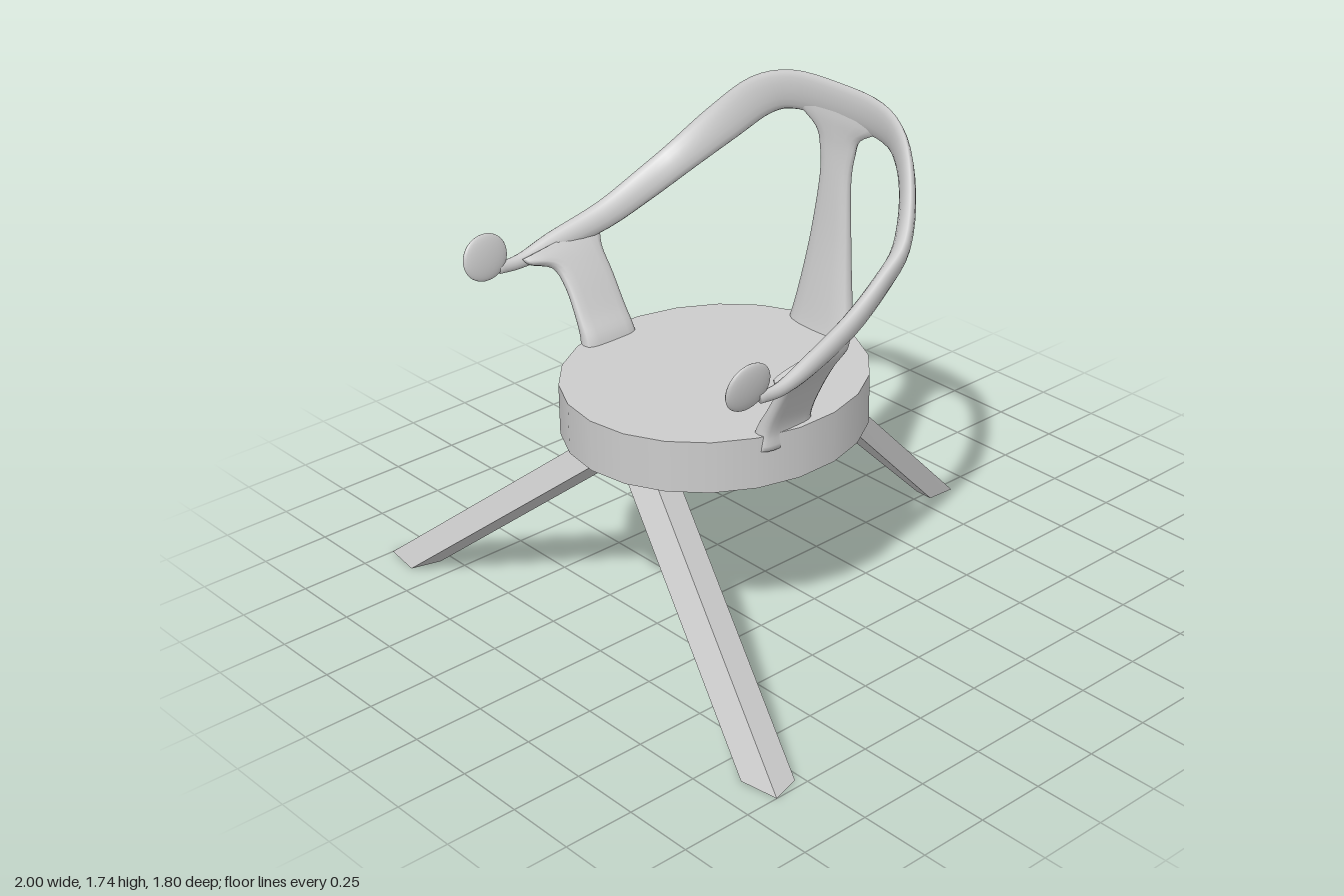
import * as THREE from 'three';

const material = new THREE.MeshStandardMaterial({ color: 0xcccccc, side: THREE.DoubleSide });

// Smooth loft. Each section: [x, y, z,  ux, uy, uz (half-axis),  half thickness]
function loft(sections, steps, power = 1, sides = 16) {
  const V = (f) => new THREE.CatmullRomCurve3(sections.map(f), false, 'catmullrom', 0.5);
  const centre = V((s) => new THREE.Vector3(s[0], s[1], s[2]));
  const axis = V((s) => new THREE.Vector3(s[3], s[4], s[5]));
  const thick = V((s) => new THREE.Vector3(s[6], 0, 0));
  const pos = [], index = [];
  const bend = (k) => Math.sign(k) * Math.abs(k) ** power;
  for (let i = 0; i <= steps; i++) {
    const t = i / steps, c = centre.getPoint(t), u = axis.getPoint(t);
    const v = centre.getTangent(t).cross(u).setLength(thick.getPoint(t).x);
    for (let j = 0; j < sides; j++) {
      const a = (j / sides) * Math.PI * 2;
      const p = c.clone().addScaledVector(u, bend(Math.cos(a))).addScaledVector(v, bend(Math.sin(a)));
      pos.push(p.x, p.y, p.z);
      if (i < steps) {
        const k = i * sides, n = (j + 1) % sides;
        index.push(k + j, k + n, k + sides + j, k + n, k + sides + n, k + sides + j);
      }
    }
  }
  // end caps
  const last = steps * sides;
  for (let j = 1; j < sides - 1; j++) index.push(0, j + 1, j, last, last + j, last + j + 1);
  const geo = new THREE.BufferGeometry();
  geo.setAttribute('position', new THREE.Float32BufferAttribute(pos, 3));
  geo.setIndex(index);
  geo.computeVertexNormals();
  return geo;
}

const mirror = (s) => [-s[0], s[1], s[2], -s[3], s[4], s[5], s[6]];

// Slanted four-sided leg; corners are [x, z] in order back-inner, back-outer, front-inner, front-outer
function legGeometry(foot, top, topY, side = 1) {
  const geo = new THREE.BoxGeometry(1, 1, 1), p = geo.attributes.position;
  for (let i = 0; i < p.count; i++) {
    const outer = p.getX(i) * side > 0 ? 1 : 0, front = p.getZ(i) > 0 ? 2 : 0, up = p.getY(i) > 0;
    const [x, z] = (up ? top : foot)[outer + front];
    p.setXYZ(i, x * side, up ? topY : 0, z);
  }
  geo.computeVertexNormals();
  return geo;
}

export function createModel() {
  const model = new THREE.Group();
  const add = (name, geo) => {
    const mesh = new THREE.Mesh(geo, material);
    mesh.name = name;
    model.add(mesh);
    return mesh;
  };

  // Thick, slightly oval seat
  const seat = new THREE.CylinderGeometry(0.492, 0.492, 0.18, 22);
  seat.scale(1, 1, 1.088);
  seat.translate(0, 0.78, 0.225);
  add('seat', seat);

  // Continuous back and arm rail
  const half = [
    [0.2, 1.66, -0.325, 0.01, 0.07, 0.008, 0.021],
    [0.33, 1.615, -0.288, 0.033, 0.06, 0.02, 0.023],
    [0.44, 1.505, -0.212, 0.04, 0.05, 0.03, 0.026],
    [0.53, 1.385, -0.095, 0.035, 0.045, 0.02, 0.029],
    [0.566, 1.31, 0.03, 0.025, 0.05, 0.01, 0.029],
    [0.597, 1.23, 0.2, 0.018, 0.045, 0.01, 0.03],
    [0.628, 1.175, 0.4, 0.012, 0.037, 0.006, 0.028],
    [0.64, 1.145, 0.53, 0.004, 0.025, 0, 0.02],
    [0.641, 1.145, 0.62, 0.002, 0.02, 0.006, 0.014],
  ];
  const rail = [...half.map(mirror).reverse(), [0, 1.665, -0.335, 0, 0.075, 0.008, 0.022], ...half];
  add('backAndArmRail', loft(rail, 72));

  // Central back splat, flaring into the seat and the rail
  add('backSplat', loft([
    [0, 0.78, -0.245, 0.17, 0, 0, 0.055],
    [0, 0.87, -0.265, 0.145, 0, 0, 0.046],
    [0, 1.02, -0.285, 0.115, 0, 0, 0.038],
    [0, 1.2, -0.305, 0.088, 0, 0, 0.03],
    [0, 1.4, -0.322, 0.068, 0, 0, 0.024],
    [0, 1.5, -0.33, 0.08, 0, 0, 0.021],
    [0, 1.56, -0.332, 0.105, 0, 0, 0.02],
    [0, 1.61, -0.333, 0.19, 0, 0, 0.019],
    [0, 1.65, -0.333, 0.22, 0, 0, 0.014],
  ], 32, 0.8));

  // Arm supports, broad from front to back, leaning outward
  const support = [
    [0.43, 0.82, 0.325, 0, 0, 0.115, 0.04],
    [0.437, 0.88, 0.325, 0, 0, 0.105, 0.034],
    [0.47, 0.95, 0.325, 0, 0, 0.1, 0.024],
    [0.525, 1.05, 0.325, 0, 0, 0.098, 0.022],
    [0.572, 1.12, 0.335, 0, -0.004, 0.105, 0.024],
    [0.6, 1.155, 0.365, 0, -0.015, 0.15, 0.024],
    [0.617, 1.185, 0.375, 0, -0.025, 0.16, 0.016],
  ];

  // Front leg corner plan at the floor, and shifted inward at the seat
  const foot = [[0.83, 0.795], [0.97, 0.775], [0.86, 0.9], [1.0, 0.88]];
  const top = foot.map(([x, z]) => [x - 0.84, z - 0.238]);

  for (const [side, word] of [[1, 'left'], [-1, 'right']]) {
    add(word + 'ArmSupport', loft(side > 0 ? support : support.map(mirror), 24, 0.55));

    // Flattened round hand grip at the arm tip
    const grip = add(word + 'HandGrip', new THREE.SphereGeometry(1, 24, 16));
    grip.scale.set(0.018, 0.081, 0.09);
    grip.position.set(side * 0.644, 1.2, 0.668);
    grip.rotation.z = -side * 0.14;

    add(word + 'FrontLeg', legGeometry(foot, top, 0.7, side));
  }

  // Tapered rear leg
  add('rearLeg', legGeometry(
    [[-0.042, -0.905], [0.042, -0.905], [-0.036, -0.8], [0.036, -0.8]],
    [[-0.115, -0.215], [0.115, -0.215], [-0.1, -0.115], [0.1, -0.115]], 0.7));

  return model;
}
